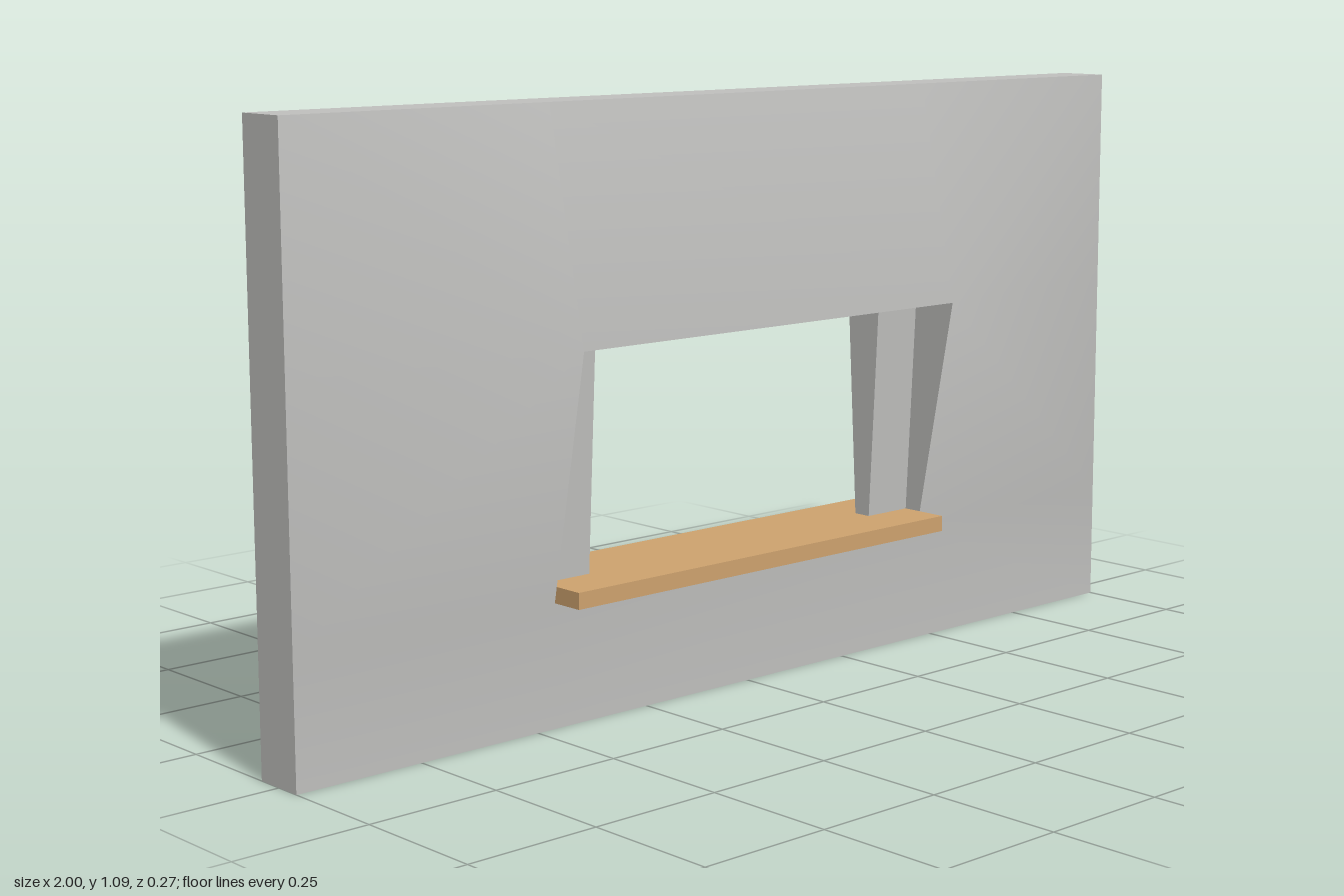
import * as THREE from 'three';

const W = 1, H = 1.09;                      // wall half width, height
const OX = 0.46, OB = 0.225, OT = 0.675;    // opening half width, bottom, top
const EDGE = 0.05, BULGE = 0.135;           // half thickness at rim and at lintel

// Flat-shaded surface from four-cornered faces, each listed counter-clockwise
function quads(list) {
  const pos = list.flatMap(([a, b, c, d]) => [a, b, c, a, c, d].flat());
  const g = new THREE.BufferGeometry();
  g.setAttribute('position', new THREE.Float32BufferAttribute(pos, 3));
  g.computeVertexNormals();
  return g;
}

// Smooth wall face: a 3 x 3 grid without its middle cell, swelling at the lintel
function wallFace() {
  const xs = [-W, -OX, OX, W], ys = [0, OB, OT, H];
  const pos = [], index = [];
  ys.forEach((y, j) => xs.forEach((x, i) => {
    pos.push(x, y, j === 2 && (i === 1 || i === 2) ? BULGE : EDGE);
  }));
  for (let j = 0; j < 3; j++) for (let i = 0; i < 3; i++) {
    if (i === 1 && j === 1) continue;
    const a = j * 4 + i, b = a + 1, c = a + 5, d = a + 4;
    // Diagonals mirror left to right and run from the corners to the opening
    if ((i < 2) === (j === 2)) index.push(a, b, d, b, c, d);
    else index.push(a, b, c, a, c, d);
  }
  const g = new THREE.BufferGeometry();
  g.setAttribute('position', new THREE.Float32BufferAttribute(pos, 3));
  g.setIndex(index);
  g.computeVertexNormals();
  return g;
}

export function createModel() {
  const concrete = new THREE.MeshStandardMaterial({ color: 0xbfbfbd });
  concrete.name = 'wall grey';
  const wood = new THREE.MeshStandardMaterial({ color: 0xcda26e });
  wood.name = 'sill wood';

  const model = new THREE.Group();
  model.name = 'wallWithOpening';
  const add = (geometry, material, name) => {
    const mesh = new THREE.Mesh(geometry, material);
    mesh.name = name;
    model.add(mesh);
    return mesh;
  };

  // Front and back faces
  add(wallFace(), concrete, 'wallFront');
  add(wallFace(), concrete, 'wallBack').rotation.y = Math.PI;

  // Outer rim
  const e = EDGE, t = BULGE;
  add(quads([
    [[W, 0, e], [W, 0, -e], [W, H, -e], [W, H, e]],
    [[-W, 0, -e], [-W, 0, e], [-W, H, e], [-W, H, -e]],
    [[-W, H, e], [W, H, e], [W, H, -e], [-W, H, -e]],
    [[-W, 0, -e], [W, 0, -e], [W, 0, e], [-W, 0, e]],
  ]), concrete, 'wallRim');

  // Inner faces of the opening
  add(quads([
    [[-OX, OB, e], [-OX, OB, -e], [-OX, OT, -t], [-OX, OT, t]],
    [[OX, OB, -e], [OX, OB, e], [OX, OT, t], [OX, OT, -t]],
    [[-OX, OT, -t], [OX, OT, -t], [OX, OT, t], [-OX, OT, t]],
    [[-OX, OB, e], [OX, OB, e], [OX, OB, -e], [-OX, OB, -e]],
  ]), concrete, 'openingReveal');

  // Jambs, thinner towards the sill
  const sillTop = 0.255, jambWidth = 0.105, jambHeight = OT - sillTop;
  for (const side of [-1, 1]) {
    const g = new THREE.BoxGeometry(jambWidth, jambHeight, 1);
    const p = g.attributes.position;
    for (let i = 0; i < p.count; i++) {
      p.setZ(i, Math.sign(p.getZ(i)) * (p.getY(i) > 0 ? 0.04 : 0.018));
    }
    g.computeVertexNormals();
    add(g, concrete, side > 0 ? 'leftJamb' : 'rightJamb')
      .position.set(side * (OX - jambWidth / 2), sillTop - 0 + jambHeight / 2, 0);
  }

  // Sill board through the opening
  add(new THREE.BoxGeometry(OX * 2, sillTop - OB, 0.23), wood, 'sill')
    .position.y = (sillTop + OB) / 2;

  return model;
}
